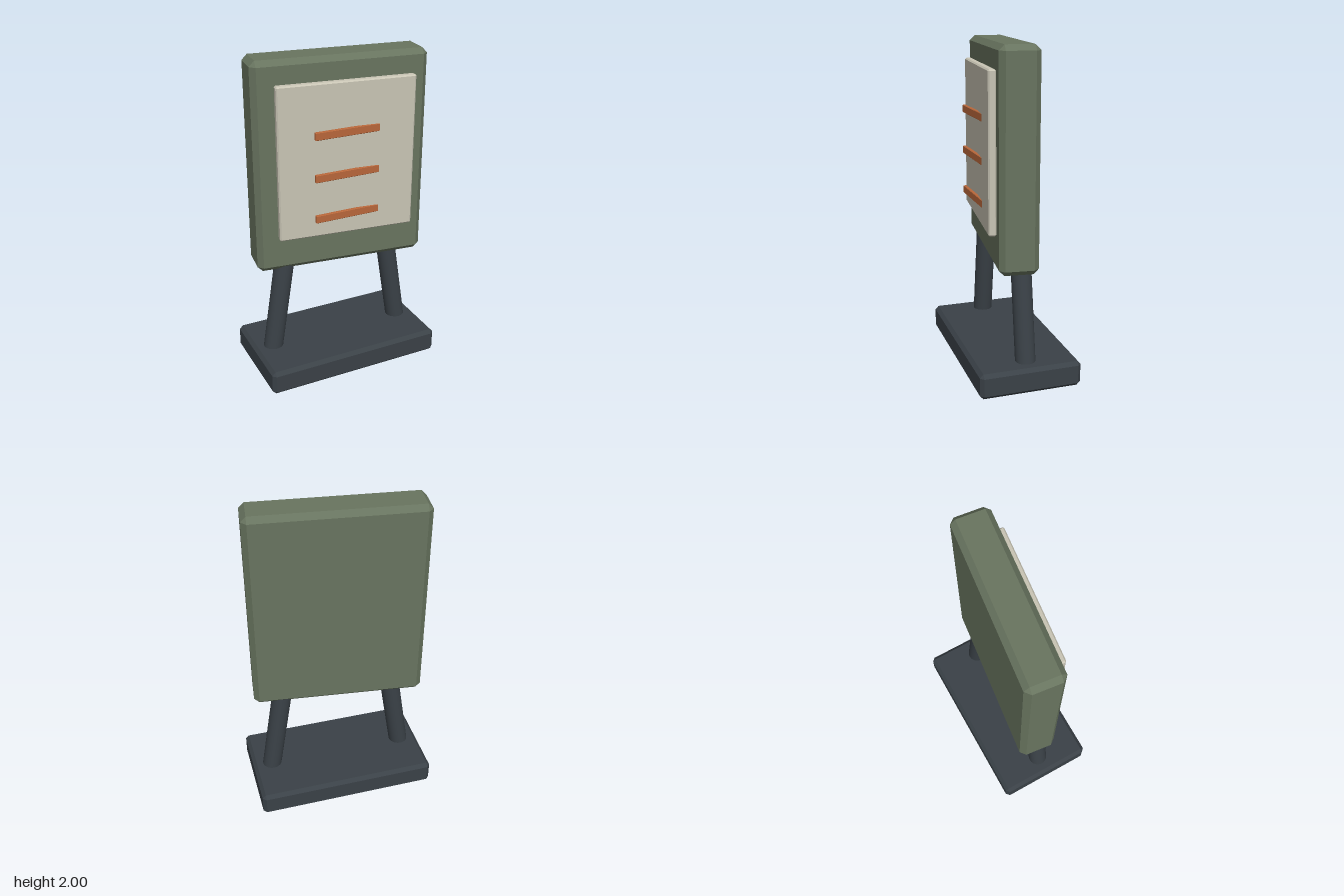
import * as THREE from 'three';
import { ConvexGeometry } from 'three/addons/geometries/ConvexGeometry.js';

const material = (color) => new THREE.MeshStandardMaterial({ color });

// Box with every edge cut by a flat chamfer of width c
function chamferBox(w, h, d, c) {
  const points = [];
  for (const x of [-1, 1]) for (const y of [-1, 1]) for (const z of [-1, 1]) {
    const [a, b, e] = [w / 2, h / 2, d / 2];
    points.push(
      new THREE.Vector3(x * a, y * (b - c), z * (e - c)),
      new THREE.Vector3(x * (a - c), y * b, z * (e - c)),
      new THREE.Vector3(x * (a - c), y * (b - c), z * e),
    );
  }
  return new ConvexGeometry(points);
}

export function createModel() {
  const group = new THREE.Group();
  const dark = material(0x3a4147);
  const green = material(0x68745f);
  const cream = material(0xc8c4b4);
  const orange = material(0xb9673a);
  const turn = -0.12; // board is swivelled slightly on its stand

  const add = (name, geometry, mat, x, y, z) => {
    const mesh = new THREE.Mesh(geometry, mat);
    mesh.name = name;
    mesh.position.set(x, y, z);
    group.add(mesh);
    return mesh;
  };

  // Base slab
  add('base', chamferBox(1.135, 0.155, 0.622, 0.022), dark, 0, 0.0775, 0);

  // Two legs leaning inwards, ends sunk into base and board
  for (const side of [-1, 1]) {
    const foot = new THREE.Vector3(side * 0.452, 0.09, 0);
    const top = new THREE.Vector3(side * 0.347, 0.76, 0);
    const leg = add(side > 0 ? 'leftLeg' : 'rightLeg',
      new THREE.CylinderGeometry(0.061, 0.061, foot.distanceTo(top), 24), dark, 0, 0, 0);
    leg.position.copy(foot).lerp(top, 0.5);
    leg.quaternion.setFromUnitVectors(new THREE.Vector3(0, 1, 0), top.sub(foot).normalize());
  }

  // Board and the sheet on its front
  add('board', chamferBox(1.053, 1.288, 0.232, 0.032), green, 0, 1.356, 0).rotation.y = turn;
  add('sheet', chamferBox(0.834, 0.935, 0.046, 0.008), cream, 0, 1.397, 0.141).rotation.y = turn;

  // Three bars facing straight ahead, partly sunk into the sheet
  [1.062, 1.317, 1.573].forEach((y, i) =>
    add(`bar${i + 1}`, chamferBox(0.43, 0.047, 0.021, 0.003), orange, 0, y, 0.177));

  return group;
}
